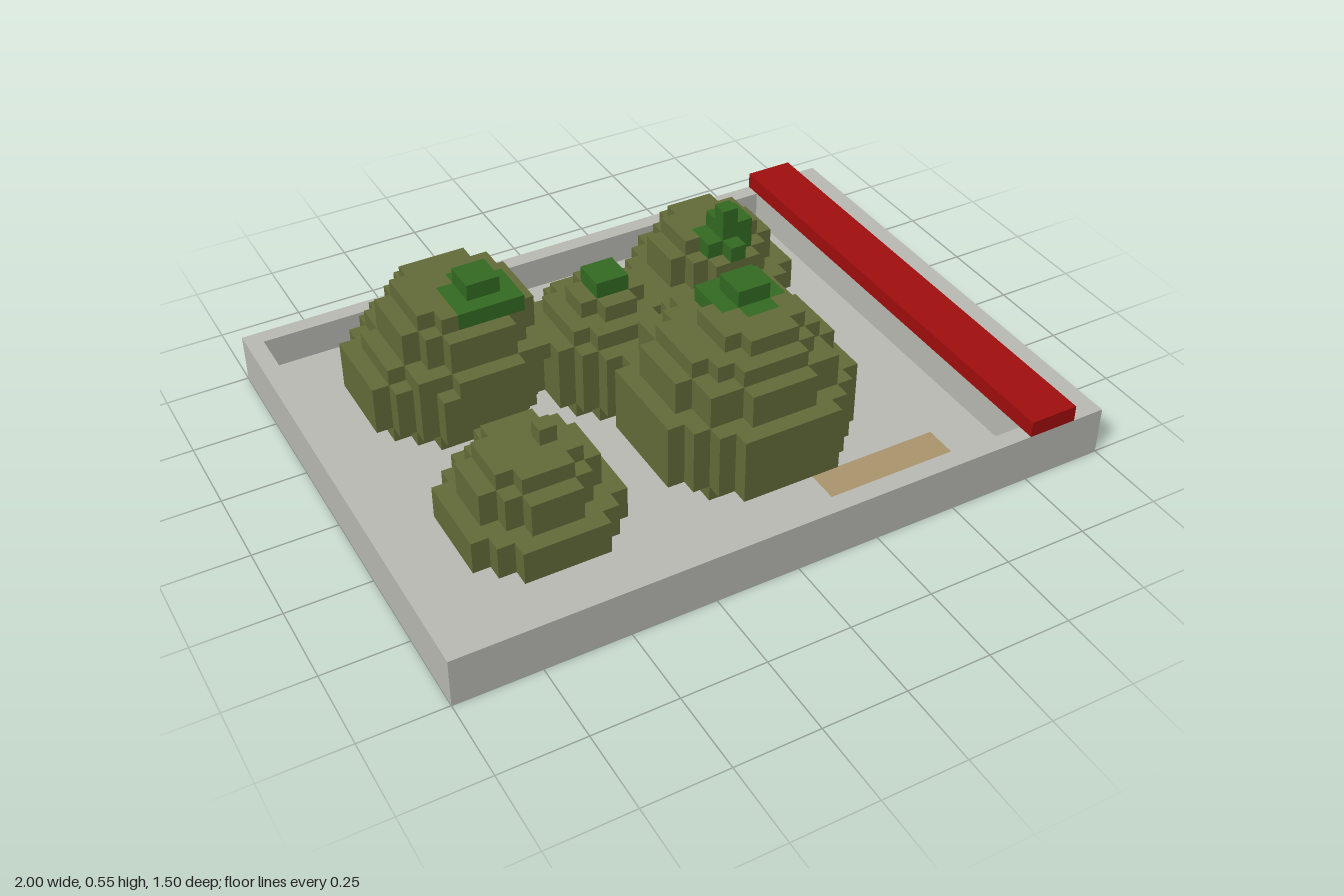
import * as THREE from 'three';

const CELL = 0.05;
const flat = (name, color) => {
  const m = new THREE.MeshStandardMaterial({ color });
  m.name = name;
  return m;
};

export function createModel() {
  const root = new THREE.Group();
  const stone = flat('paleStone', 0xbbbcb5);
  const olive = flat('olive', 0x646d3a);
  const green = flat('leafGreen', 0x346b22);
  const red = flat('red', 0xa30e0e);
  const tan = flat('tan', 0xad966f);

  // box from minimum corner and size
  const box = (parent, name, mat, x, y, z, w, h, d) => {
    const mesh = new THREE.Mesh(new THREE.BoxGeometry(w, h, d), mat);
    mesh.position.set(x + w / 2, y + h / 2, z + d / 2);
    mesh.name = name;
    parent.add(mesh);
  };

  // tray: one outline extruded for floor (slot cut out) and for the raised rim
  const rect = (Type, x0, z0, x1, z1) => new Type([[x0, z0], [x1, z0], [x1, z1], [x0, z1]]
    .map(([x, z]) => new THREE.Vector2(x, z)));
  const slab = (name, hole, y0, y1) => {
    const shape = rect(THREE.Shape, -1, -0.75, 1, 0.75);
    shape.holes.push(rect(THREE.Path, ...hole));
    const geo = new THREE.ExtrudeGeometry(shape, { depth: y1 - y0, bevelEnabled: false });
    geo.rotateX(Math.PI / 2).translate(0, y1, 0);
    const mesh = new THREE.Mesh(geo, stone);
    mesh.name = name;
    root.add(mesh);
  };
  slab('trayFloor', [0.2, 0.5, 0.6, 0.6], 0, 0.05);
  slab('trayRim', [-0.95, -0.7, 0.75, 0.7], 0.05, 0.15);
  box(root, 'floorInlay', tan, 0.2, 0, 0.5, 0.4, 0.05, 0.1);
  box(root, 'redBar', red, 0.75, 0.15, -0.75, 0.15, 0.05, 1.5);

  // round plants in cells: centre, disc diameter per layer upwards, then coloured stem boxes
  const plants = [
    { name: 'backRightPlant', c: [-10.5, -6.5], layers: [9, 11, 11, 11, 10, 8, 8, 6],
      stem: [[-11, 8, -6, 4, 3], [-10, 8, -7, 2, 1], [-10, 9, -6, 2, 2]] },
    { name: 'backLeftPlant', c: [7.5, -7.5], layers: [7, 9, 9, 7, 7, 5],
      stem: [[6, 6, -7, 3, 2], [8, 6, -8, 1, 1], [7, 6, -5, 1, 1], [7, 7, -7, 2, 2], [7, 8, -6, 1, 1]] },
    { name: 'frontRightPlant', c: [-11.5, 6.5], layers: [7, 9, 9, 7, 7, 5],
      stem: [[-11, 7, 6, 1, 1]], stemMat: olive },
    { name: 'frontLeftPlant', c: [2, 5], layers: [10, 12, 12, 12, 12, 10, 10, 8, 5],
      stem: [[1, 9, 2, 4, 3], [2, 9, 5, 2, 1], [2, 10, 3, 2, 2]] },
    { name: 'middlePlant', c: [-2, -3], layers: [7, 8, 8, 8, 8, 6, 4],
      stem: [[-3, 7, -4, 2, 2], [-3, 8, -4, 2, 2]] },
  ];

  for (const { name, c, layers, stem, stemMat = green } of plants) {
    const group = new THREE.Group();
    group.name = name;
    root.add(group);
    const inStem = (x, y, z) => stem.some(([sx, sy, sz, w, d]) =>
      y === sy && x >= sx && x < sx + w && z >= sz && z < sz + d);

    // body: each row of a disc becomes one box per unbroken run
    layers.forEach((d, i) => {
      const y = i + 1;
      const x0 = Math.round(c[0] - d / 2), z0 = Math.round(c[1] - d / 2);
      for (let z = z0; z < z0 + d; z++) {
        let start = null;
        for (let x = x0; x <= x0 + d; x++) {
          const dx = x + 0.5 - x0 - d / 2, dz = z + 0.5 - z0 - d / 2;
          const solid = x < x0 + d && Math.hypot(dx, dz) < d / 2 + 0.1 && !inStem(x, y, z);
          if (solid && start === null) start = x;
          if (!solid && start !== null) {
            box(group, 'body', olive, start * CELL, y * CELL, z * CELL, (x - start) * CELL, CELL, CELL);
            start = null;
          }
        }
      }
    });
    for (const [x, y, z, w, d] of stem) {
      box(group, 'stem', stemMat, x * CELL, y * CELL, z * CELL, w * CELL, CELL, d * CELL);
    }
  }
  return root;
}
